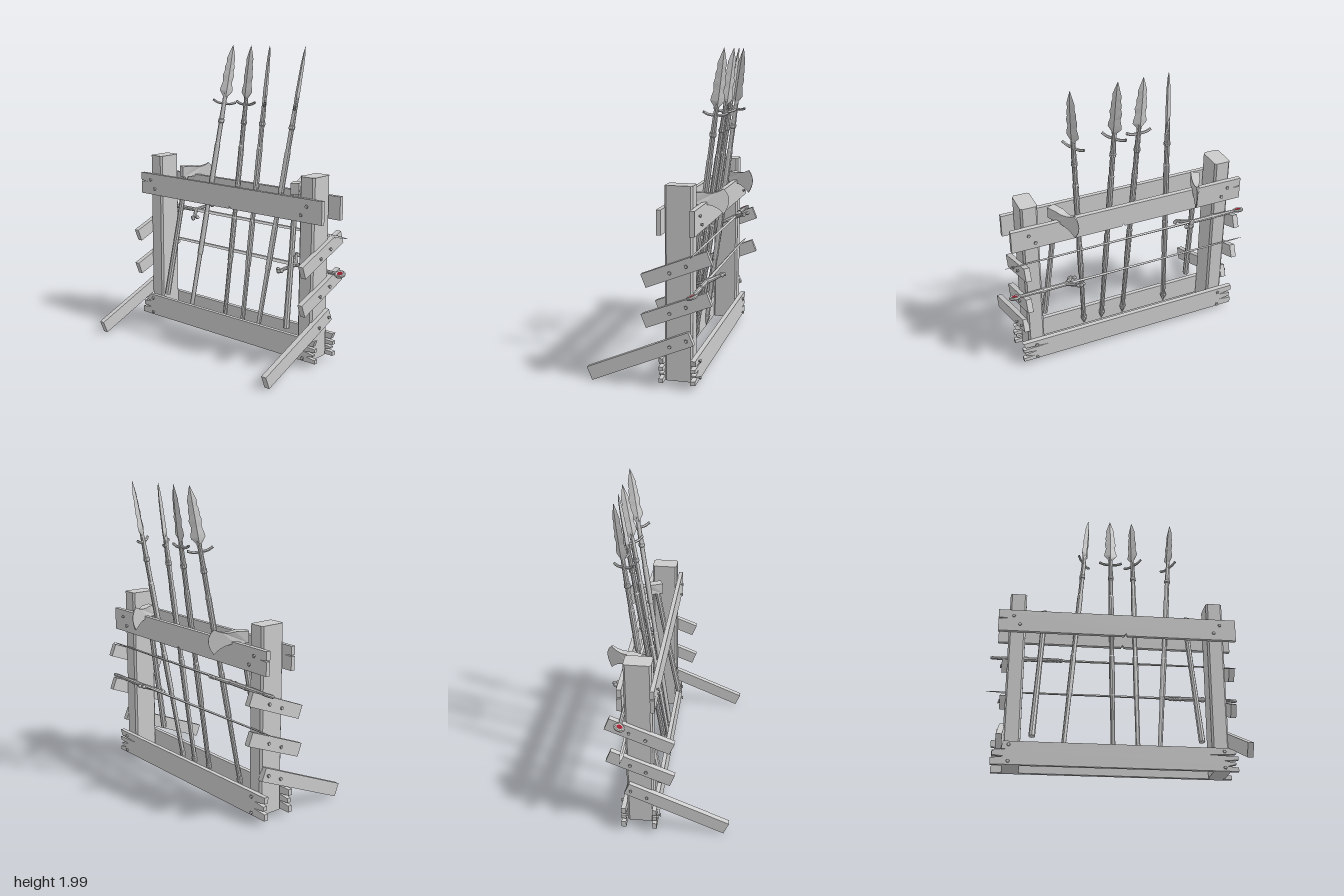
import * as THREE from 'three';

const mat = new THREE.MeshStandardMaterial({ color: 0xcccccc, flatShading: true, side: THREE.DoubleSide });
const red = new THREE.MeshStandardMaterial({ color: 0x9a1c2c, flatShading: true });
const V = (x, y, z) => new THREE.Vector3(x, y, z);
const UP = V(0, 1, 0);

function add(parent, name, geo, x = 0, y = 0, z = 0, material = mat) {
  const m = new THREE.Mesh(geo, material);
  m.name = name;
  m.position.set(x, y, z);
  parent.add(m);
  return m;
}

const shapeOf = pts => new THREE.Shape(pts.map(p => new THREE.Vector2(p[0], p[1])));

// Round bar between two points
function bar(parent, name, a, b, r0, r1, sides = 8) {
  const d = b.clone().sub(a);
  const m = add(parent, name, new THREE.CylinderGeometry(r1, r0, d.length(), sides));
  m.position.copy(a).addScaledVector(d, 0.5);
  m.quaternion.setFromUnitVectors(UP, d.normalize());
  return m;
}

// Diamond-section blade along y; rows are [y, half width, half thickness]
function bladeGeometry(rows) {
  const pos = [], idx = [];
  for (const [y, w, t] of rows) pos.push(w, y, 0, 0, y, t, -w, y, 0, 0, y, -t);
  for (let i = 0; i < rows.length - 1; i++)
    for (let j = 0; j < 4; j++) {
      const a = i * 4 + j, b = i * 4 + (j + 1) % 4;
      idx.push(a, a + 4, b, b, a + 4, b + 4);
    }
  // wind outward
  for (let i = 0; i < idx.length; i += 3) [idx[i + 1], idx[i + 2]] = [idx[i + 2], idx[i + 1]];
  const g = new THREE.BufferGeometry();
  g.setAttribute('position', new THREE.Float32BufferAttribute(pos, 3));
  g.setIndex(idx);
  const out = g.toNonIndexed();
  out.computeVertexNormals();
  return out;
}

// Long plank: outline in (z, y), thickness along x
function plank(parent, name, pts, x0, x1) {
  const g = new THREE.ExtrudeGeometry(shapeOf(pts), { depth: x1 - x0, bevelEnabled: false });
  g.rotateY(-Math.PI / 2);
  add(parent, name, g, x1, 0, 0);
}

// Small nail: stem and head, pointing along an axis
function nail(parent, p, dir) {
  const at = k => p.clone().addScaledVector(dir, k);
  bar(parent, 'nailStem', at(-0.01), at(0.012), 0.006, 0.006, 6);
  bar(parent, 'nailHead', at(0.009), at(0.015), 0.012, 0.01, 6);
}

function buildFrame(root) {
  const frame = new THREE.Group();
  frame.name = 'frame';
  root.add(frame);

  const top = [[-0.79, 0.94], [0.045, 0.94], [0.055, 0.957], [0.065, 0.94], [0.8, 0.94], [0.8, 1.09], [-0.79, 1.09],
    [-0.79, 1.035], [-0.73, 1.03], [-0.79, 1.027]];
  const bottom = [[-0.79, 0.04], [0.77, 0.04], [0.77, 0.065], [0.7, 0.072], [0.755, 0.085], [0.755, 0.095],
    [0.68, 0.107], [0.77, 0.115], [0.77, 0.137], [0.59, 0.143], [0.755, 0.152], [0.77, 0.19], [-0.79, 0.19],
    [-0.79, 0.15], [-0.7, 0.138], [-0.78, 0.128], [-0.78, 0.1], [-0.7, 0.092], [-0.79, 0.082]];
  for (const [x0, x1] of [[0.25, 0.28], [0.055, 0.082]]) {
    plank(frame, 'topPlank', top, x0, x1);
    plank(frame, 'bottomPlank', bottom, x0, x1);
  }

  for (const s of [-1, 1]) {
    // Post with chamfered corners
    const c = 0.012, w = 0.085, d = 0.055;
    const outline = shapeOf([[-w + c, -d], [w - c, -d], [w, -d + c], [w, d - c],
      [w - c, d], [-w + c, d], [-w, d - c], [-w, -d + c]]);
    const g = new THREE.ExtrudeGeometry(outline, { depth: 1.18, bevelEnabled: false });
    g.rotateX(-Math.PI / 2);
    add(frame, 'post', g, 0.165, 0.04, s * 0.665);

    // Two sword rests and a long leg on the outside of each post
    const slats = [['restSlat', 0.157, 0.73, 0.43, 21.8], ['restSlat', 0.157, 0.485, 0.43, 21.8],
      ['legSlat', -0.07, 0.182, 0.69, 23]];
    for (const [name, x, y, len, deg] of slats) {
      const m = add(frame, name, new THREE.BoxGeometry(len, 0.087, 0.036), x, y, s * 0.731);
      m.rotation.z = THREE.MathUtils.degToRad(deg);
    }
    for (const y of [0.71, 0.465, 0.26]) {
      nail(frame, V(0.12, y, s * 0.749), V(0, 0, s));
      nail(frame, V(0.22, y + 0.045, s * 0.749), V(0, 0, s));
    }
    // Plank nails
    for (const [y, z] of [[1.045, 0.69], [0.985, 0.648], [0.165, 0.68], [0.06, 0.68]]) {
      nail(frame, V(0.28, y, s * z), V(1, 0, 0));
      nail(frame, V(0.055, y, s * z), V(-1, 0, 0));
    }
  }
}

function buildSpear(root, z0, z1, turn) {
  const spear = new THREE.Group();
  spear.name = 'spear';
  root.add(spear);
  const a = V(0.085, 0.05, z0), d = V(0.365, 2, z1).sub(a), L = d.length();
  spear.position.copy(a);
  spear.quaternion.setFromUnitVectors(UP, d.normalize())
    .multiply(new THREE.Quaternion().setFromAxisAngle(UP, turn));

  // Shaft with pointed butt, grip and socket collar
  const profile = [[0, 0], [0.014, 0.04], [0.02, 0.06], [0.02, 0.075], [0.015, 0.08], [0.016, 0.5], [0.019, 0.51],
    [0.019, 0.8], [0.016, 0.81], [0.016, 1.02], [0.019, 1.03], [0.019, 1.29], [0.016, 1.3], [0.016, 1.44],
    [0.021, 1.445], [0.021, 1.465], [0.017, 1.47], [0.014, 1.6], [0.012, 1.66], [0, 1.68]];
  add(spear, 'shaft', new THREE.LatheGeometry(profile.map(p => new THREE.Vector2(p[0], p[1])), 10));

  // Up-curved crossbar
  const curve = new THREE.CatmullRomCurve3([V(-0.08, 1.592, 0), V(-0.045, 1.577, 0), V(0, 1.575, 0),
    V(0.045, 1.577, 0), V(0.08, 1.592, 0)]);
  add(spear, 'crossbar', new THREE.TubeGeometry(curve, 12, 0.009, 6));

  // Wavy-edged head
  const rows = [[-0.39, 0.012, 0.012], [-0.35, 0.018, 0.014], [-0.315, 0.045, 0.015], [-0.295, 0.043, 0.015],
    [-0.25, 0.032, 0.014], [-0.21, 0.04, 0.013], [-0.18, 0.032, 0.013], [-0.15, 0.034, 0.012],
    [-0.125, 0.027, 0.012], [-0.09, 0.029, 0.01], [-0.04, 0.014, 0.007], [0, 0.001, 0.001]];
  add(spear, 'spearHead', bladeGeometry(rows.map(([y, w, t]) => [y + L, w, t])));
}

function buildSword(root, y, s) {
  const sword = new THREE.Group();
  sword.name = 'sword';
  root.add(sword);
  const tilt = THREE.MathUtils.degToRad(22);
  const ax = V(Math.cos(tilt), Math.sin(tilt), 0), ay = V(0, 0, s);
  sword.quaternion.setFromRotationMatrix(new THREE.Matrix4().makeBasis(ax, ay, ax.clone().cross(ay)));
  sword.position.set(0.268, y, -s * 0.8);

  // Ring pommel with a red inset
  add(sword, 'pommelRing', new THREE.TorusGeometry(0.026, 0.011, 8, 18));
  const gem = add(sword, 'pommelInset', new THREE.CylinderGeometry(0.02, 0.02, 0.016, 16), 0, 0, 0, red);
  gem.rotation.x = Math.PI / 2;

  bar(sword, 'grip', V(0, 0.03, 0), V(0, 0.2, 0), 0.011, 0.015);
  bar(sword, 'grip', V(0, 0.2, 0), V(0, 0.36, 0), 0.015, 0.014);
  bar(sword, 'gripCollar', V(0, 0.19, 0), V(0, 0.21, 0), 0.018, 0.018);

  // Forward-swept guard with trefoil ends
  for (const k of [-1, 1]) {
    bar(sword, 'guardArm', V(0, 0.35, 0), V(k * 0.09, 0.41, 0), 0.016, 0.01);
    for (const [dx, dy] of [[0.018, 0], [-0.004, 0.02], [0.008, -0.016]])
      add(sword, 'guardKnob', new THREE.SphereGeometry(0.014, 8, 6), k * (0.088 + dx), 0.415 + dy, 0);
  }
  add(sword, 'swordBlade', bladeGeometry([[0.34, 0.02, 0.009], [0.55, 0.02, 0.008], [1.35, 0.016, 0.006],
    [1.57, 0.013, 0.004], [1.65, 0.001, 0.001]]));
}

function buildAxe(root, s) {
  const axe = new THREE.Group();
  axe.name = 'axe';
  root.add(axe);
  const foot = V(0.058, 0.225, s * 0.54), mid = V(0.15, 0.75, s * 0.508), top = V(0.213, 1.145, s * 0.485);
  bar(axe, 'axeHandle', foot, mid, 0.021, 0.018);
  bar(axe, 'axeHandle', mid, top, 0.018, 0.02);

  // Flared head, thinning from the socket to the cutting edge
  const sh = new THREE.Shape();
  sh.moveTo(-0.04, -0.035);
  sh.lineTo(0.045, -0.032);
  sh.quadraticCurveTo(0.13, -0.045, 0.172, -0.1);
  sh.quadraticCurveTo(0.24, -0.01, 0.17, 0.055);
  sh.quadraticCurveTo(0.11, 0.02, 0.045, 0.04);
  sh.lineTo(-0.04, 0.04);
  const g = new THREE.ExtrudeGeometry(sh, { depth: 1, bevelEnabled: false, curveSegments: 8 });
  const p = g.attributes.position;
  for (let i = 0; i < p.count; i++) {
    const t = THREE.MathUtils.mapLinear(THREE.MathUtils.clamp(p.getX(i), 0.04, 0.2), 0.04, 0.2, 0.056, 0.003);
    p.setZ(i, (p.getZ(i) - 0.5) * t);
  }
  g.computeVertexNormals();
  add(axe, 'axeHead', g, 0.21, 1.11, s * 0.487).rotation.y = s * 0.42;
}

export function createModel() {
  const root = new THREE.Group();
  root.name = 'weaponRack';
  buildFrame(root);
  buildSpear(root, 0.265, 0.425, 0.55);
  buildSpear(root, 0.135, 0.135, 0.74);
  buildSpear(root, -0.025, -0.025, Math.PI / 2);
  buildSpear(root, -0.35, -0.185, -0.55);
  buildSword(root, 0.828, 1);
  buildSword(root, 0.588, -1);
  for (const s of [-1, 1]) buildAxe(root, s);
  return root;
}
